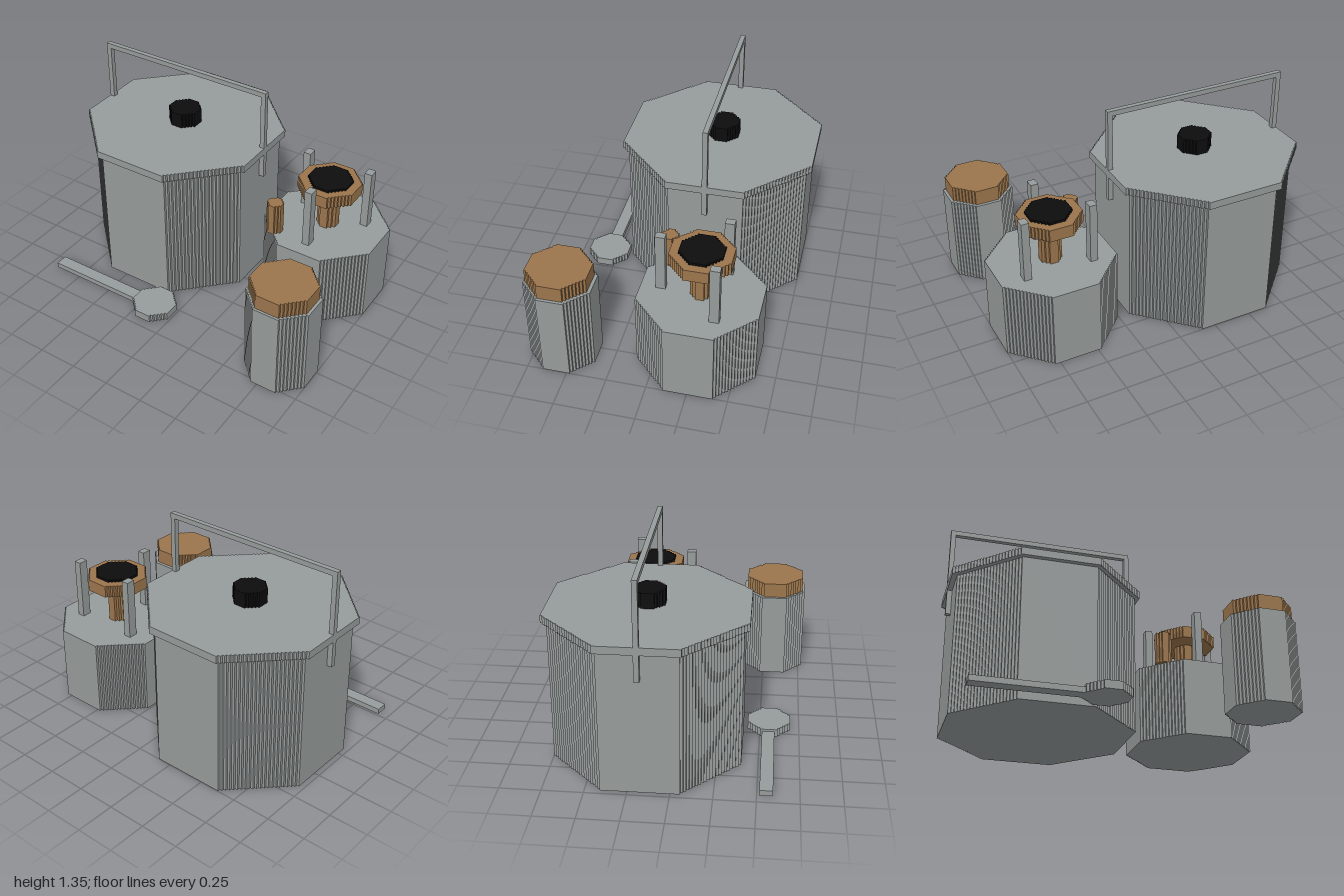
import * as THREE from 'three';

const STEP = 0.016; // size of one block in the stepped corners

function material(name, color) {
  const m = new THREE.MeshStandardMaterial({ color });
  m.name = name;
  return m;
}

// Octagon outline whose slanted sides are small stairs
function steppedOctagon(r) {
  const n = Math.max(1, Math.round((r * 0.59) / STEP));
  const s = (r * 0.59) / n;
  const f = r - n * s;
  const quarter = [[r, f]];
  for (let i = 1; i <= n; i++) {
    quarter.push([r - i * s, f + (i - 1) * s], [r - i * s, f + i * s]);
  }
  const points = [];
  for (let q = 0; q < 4; q++) {
    for (const [x, y] of quarter) {
      points.push(new THREE.Vector2(...[[x, y], [-y, x], [-x, -y], [y, -x]][q]));
    }
  }
  return new THREE.Shape(points);
}

export function createModel() {
  const metal = material('grey metal', 0x969c9b);
  const brass = material('brass', 0x9b754c);
  const black = material('black', 0x0d0d0d);

  const model = new THREE.Group();
  const group = (name) => {
    const g = new THREE.Group();
    g.name = name;
    model.add(g);
    return g;
  };

  // Upright octagonal drum from y0 to y1
  const drum = (parent, name, mat, x, z, r, y0, y1) => {
    const geo = new THREE.ExtrudeGeometry(steppedOctagon(r), { depth: y1 - y0, bevelEnabled: false });
    geo.rotateX(-Math.PI / 2);
    const mesh = new THREE.Mesh(geo, mat);
    mesh.position.set(x, y0, z);
    mesh.name = name;
    parent.add(mesh);
  };

  // Box given by its limits on each axis
  const block = (parent, name, mat, x0, x1, y0, y1, z0, z1) => {
    const mesh = new THREE.Mesh(new THREE.BoxGeometry(x1 - x0, y1 - y0, z1 - z0), mat);
    mesh.position.set((x0 + x1) / 2, (y0 + y1) / 2, (z0 + z1) / 2);
    mesh.name = name;
    parent.add(mesh);
  };

  // Cooking pot with lid, knob and bail handle
  const pot = group('cookingPot');
  drum(pot, 'potBody', metal, -0.395, -0.175, 0.573, 0, 0.905);
  drum(pot, 'potLid', metal, -0.395, -0.175, 0.605, 0.905, 0.953);
  drum(pot, 'lidKnob', black, -0.395, -0.175, 0.099, 0.953, 1.05);
  block(pot, 'handleBar', metal, -1, 0.21, 1.313, 1.345, -0.192, -0.16);
  for (const x of [-1, 0.178]) {
    block(pot, 'handleLeg', metal, x, x + 0.032, 0.74, 1.313, -0.192, -0.16);
  }

  // Camp stove: fuel tank, burner, pot supports and filler cap
  const stove = group('campStove');
  drum(stove, 'fuelTank', metal, 0.631, -0.257, 0.371, 0, 0.495);
  drum(stove, 'burnerStem', brass, 0.635, -0.259, 0.065, 0.495, 0.742);
  drum(stove, 'burnerHead', brass, 0.632, -0.259, 0.186, 0.742, 0.82);
  drum(stove, 'burnerPlate', black, 0.635, -0.259, 0.132, 0.82, 0.836);
  for (const [x, z] of [[0.414, -0.38], [0.841, -0.38], [0.628, -0.01]]) {
    block(stove, 'potSupport', metal, x - 0.024, x + 0.024, 0.495, 0.887, z - 0.03, z + 0.03);
  }
  drum(stove, 'fillerCap', brass, 0.391, -0.01, 0.05, 0.495, 0.705);

  // Storage canister with a brass lid
  const canister = group('canister');
  drum(canister, 'canisterBody', metal, 0.792, 0.565, 0.208, 0, 0.575);
  drum(canister, 'canisterLid', brass, 0.792, 0.568, 0.19, 0.575, 0.672);

  // Ladle lying on the ground
  const ladle = group('ladle');
  drum(ladle, 'ladleBowl', metal, -0.15, 0.558, 0.135, 0, 0.05);
  block(ladle, 'ladleHandle', metal, -0.935, -0.275, 0, 0.035, 0.515, 0.594);

  return model;
}
